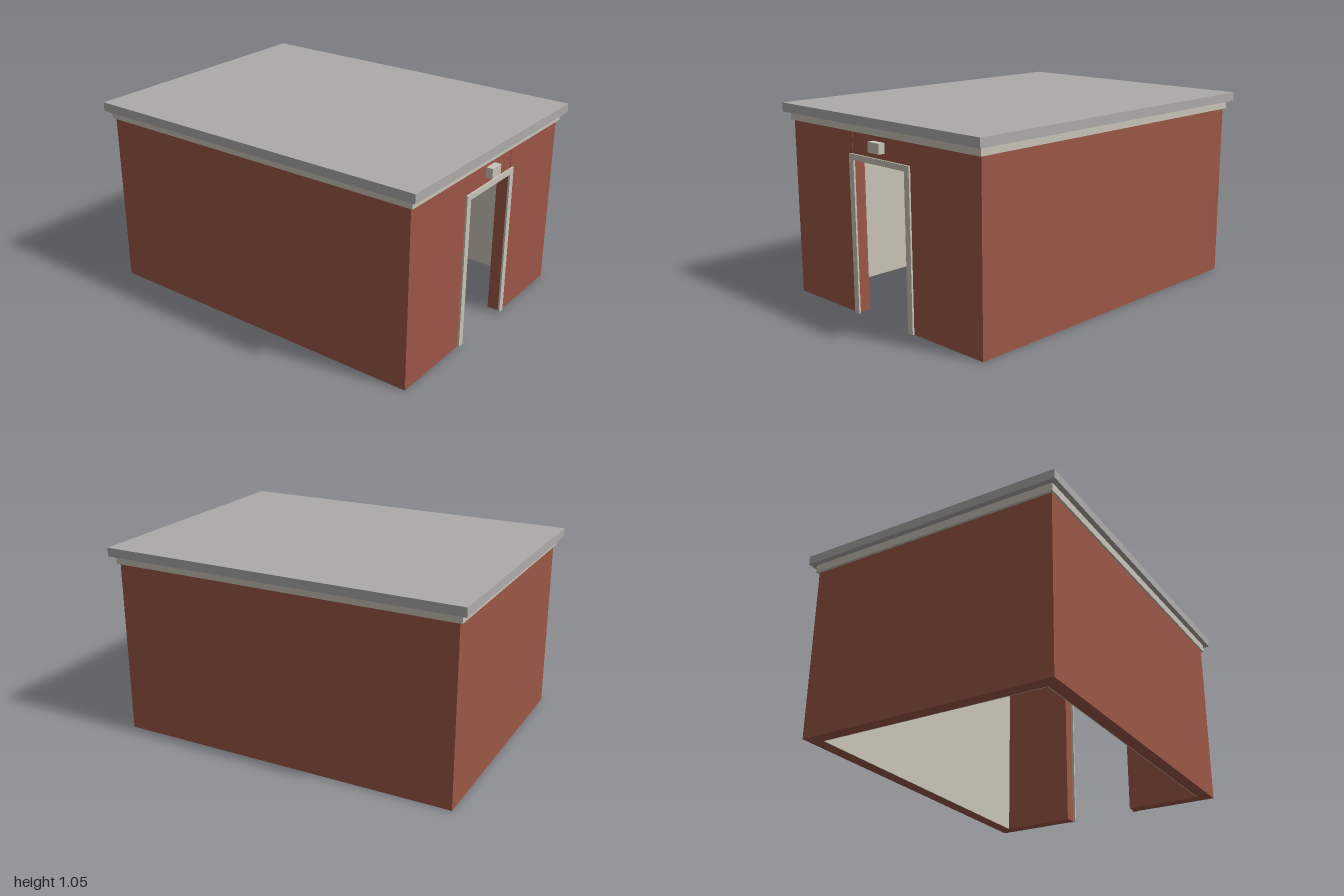
import * as THREE from 'three';

export function createModel() {
  const group = new THREE.Group();
  group.name = 'brickShed';

  const make = (name, color) => {
    const m = new THREE.MeshStandardMaterial({ color });
    m.name = name;
    return m;
  };
  const brick = make('brick red', 0x9b5646);
  const cream = make('cream', 0xc8c3b6);
  const grey = make('roof grey', 0xacaba9);

  // box from its min and max corners
  const box = (name, mat, x0, x1, y0, y1, z0, z1) => {
    const mesh = new THREE.Mesh(new THREE.BoxGeometry(x1 - x0, y1 - y0, z1 - z0), mat);
    mesh.position.set((x0 + x1) / 2, (y0 + y1) / 2, (z0 + z1) / 2);
    mesh.name = name;
    group.add(mesh);
    return mesh;
  };

  const W = 0.71, D = 0.955, T = 0.07, H = 0.955; // wall half width, half depth, thickness, height
  const L = 0.005;                                // inner lining thickness
  const doorW = 0.21, doorH = 0.825;

  // back wall with its plastered inner face
  box('backWall', brick, -W, W, 0, H, -D, -D + T);
  box('backLining', cream, -W + T, W - T, 0, H, -D + T, -D + T + L);

  for (const [side, s] of [['left', 1], ['right', -1]]) {
    const span = (a, b) => [Math.min(s * a, s * b), Math.max(s * a, s * b)];
    // long side walls with plastered inner faces
    box(side + 'Wall', brick, ...span(W - T, W), 0, H, -D + T, D - T);
    box(side + 'Lining', cream, ...span(W - T - L, W - T), 0, H, -D + T + L, D - T);
    // front wall beside the doorway, and the door frame post
    box(side + 'FrontWall', brick, ...span(doorW, W), 0, H, D - T, D);
    box(side + 'FramePost', cream, ...span(0.195, 0.23), 0, 0.81, D, D + 0.01);
  }

  // wall over the doorway, set back a hair so its joints read
  box('lintelWall', brick, -doorW, doorW, doorH, H, D - T, D - 0.002);
  box('frameHead', cream, -0.23, 0.23, 0.81, 0.84, D, D + 0.01);

  // lamp over the door
  box('doorLamp', cream, -0.043, 0.041, 0.872, 0.925, D - 0.002, 0.99);

  // ceiling slab forming the eaves trim, then the flat roof
  box('eavesTrim', cream, -0.722, 0.722, H, 0.998, -0.97, 0.97);
  box('roof', grey, -0.75, 0.75, 0.998, 1.046, -1, 1);

  return group;
}
